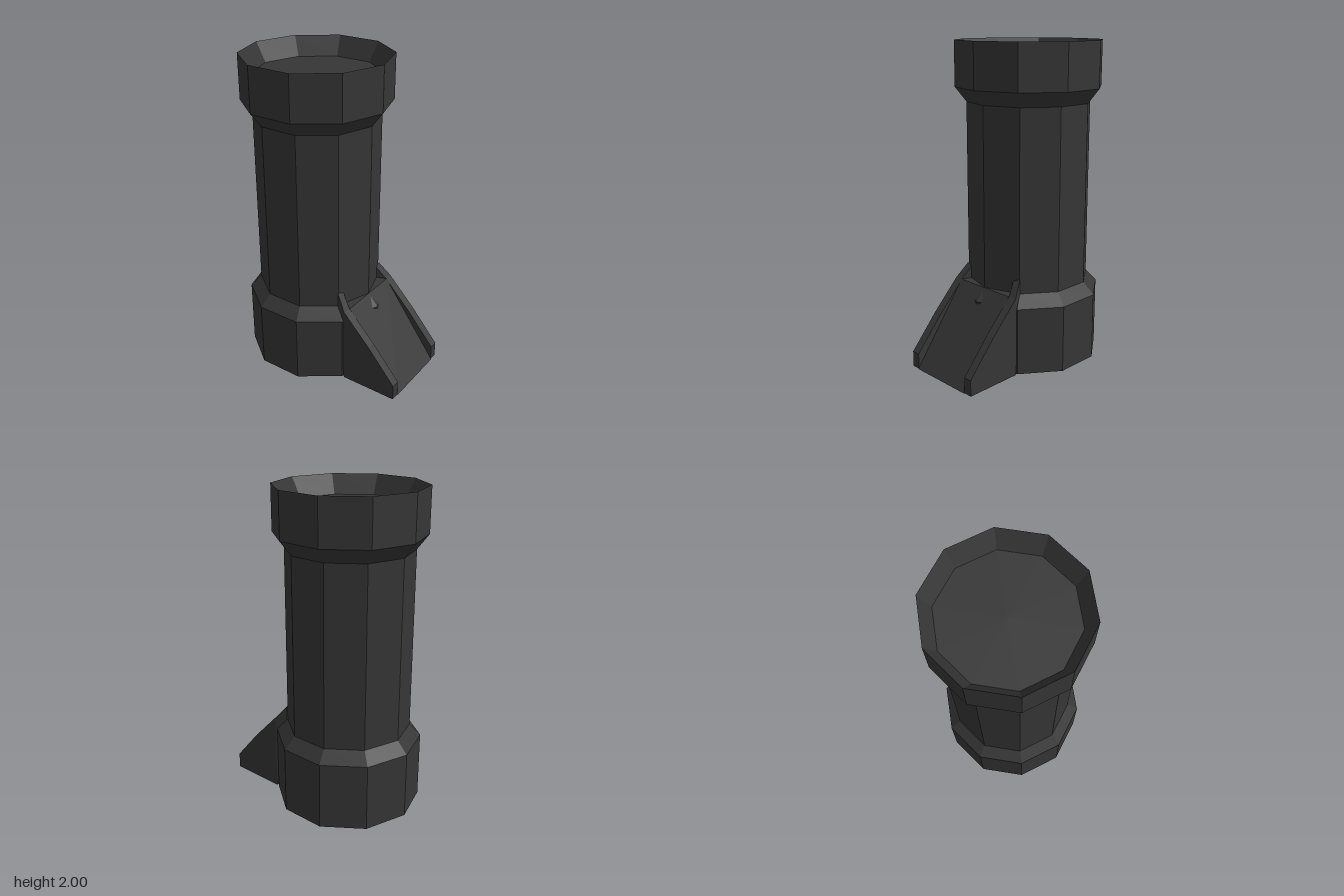
import * as THREE from 'three';

const CX = -0.153; // axis of the column

function flat(geometry) {
  const g = geometry.index ? geometry.toNonIndexed() : geometry;
  g.computeVertexNormals();
  return g;
}

// Rail beside the ramp, lofted from quad sections; s = +1 or -1 picks the side
function railGeometry(s) {
  // x, bottom y, top y, outer z, inner z
  const stations = [
    [0.603, 0, 0.1, 0.27, 0.215],
    [0.42, 0, 0.31, 0.27, 0.215],
    [0.235, 0, 0.5, 0.27, 0.215],
    [0.165, 0.4, 0.59, 0.235, 0.185],
  ];
  const pos = [], idx = [];
  for (const [x, y0, y1, zo, zi] of stations) {
    pos.push(x, y0, s * zo, x, y1, s * zo, x, y1, s * zi, x, y0, s * zi);
  }
  const quad = (a, b, c, d) => {
    if (s > 0) idx.push(a, b, c, a, c, d);
    else idx.push(a, c, b, a, d, c);
  };
  for (let i = 0; i < stations.length - 1; i++) {
    for (let k = 0; k < 4; k++) {
      const n = (k + 1) % 4;
      quad(i * 4 + k, i * 4 + n, i * 4 + 4 + n, i * 4 + 4 + k);
    }
  }
  const e = (stations.length - 1) * 4;
  quad(3, 2, 1, 0);
  quad(e, e + 1, e + 2, e + 3);
  const g = new THREE.BufferGeometry();
  g.setAttribute('position', new THREE.Float32BufferAttribute(pos, 3));
  g.setIndex(idx);
  return flat(g);
}

export function createModel() {
  const group = new THREE.Group();
  const charcoal = new THREE.MeshStandardMaterial({ color: 0x363636 });
  charcoal.name = 'charcoal';

  const add = (name, geometry) => {
    const mesh = new THREE.Mesh(geometry, charcoal);
    mesh.name = name;
    group.add(mesh);
    return mesh;
  };

  // Ten-sided column with flared collars and dished ends
  const profile = [
    [0, 0.12], [0.393, 0.12], [0.46, 0], [0.46, 0.425], [0.39, 0.5],
    [0.39, 1.63], [0.46, 1.72], [0.46, 2], [0.393, 1.88], [0, 1.88],
  ].map(([r, y]) => new THREE.Vector2(r, y));
  const column = add('column', flat(new THREE.LatheGeometry(profile, 10, Math.PI / 2)));
  column.position.x = CX;

  // Sloping ramp panel between the rails
  const side = new THREE.Shape([
    [0.22, 0], [0.608, 0], [0.24, 0.5], [0.165, 0.5],
  ].map(([x, y]) => new THREE.Vector2(x, y)));
  const ramp = new THREE.ExtrudeGeometry(side, { depth: 0.43, bevelEnabled: false });
  ramp.translate(0, 0, -0.215);
  add('ramp', flat(ramp));

  // Raised rails on both sides
  add('frontRail', railGeometry(1));
  add('backRail', railGeometry(-1));

  return group;
}
